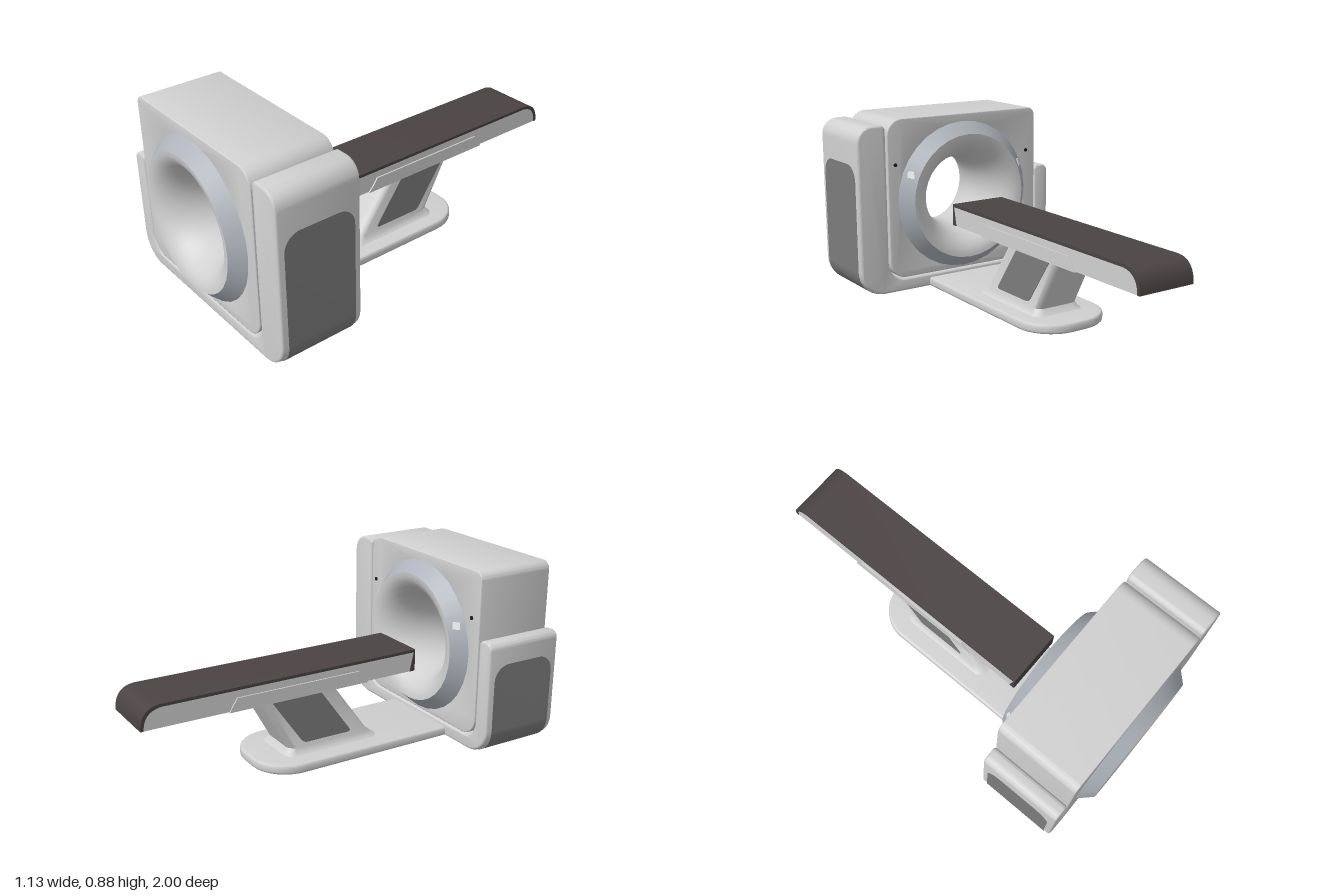
import * as THREE from 'three';
import { toCreasedNormals } from 'three/addons/utils/BufferGeometryUtils.js';

const mat = (name, color, side = THREE.FrontSide) => {
  const m = new THREE.MeshStandardMaterial({ color, side });
  m.name = name;
  return m;
};

// Polygon with a corner radius per point: [x, y, r]
function roundedShape(pts) {
  const s = new THREE.Shape();
  const n = pts.length;
  pts.forEach(([x, y, r], i) => {
    const p = new THREE.Vector2(x, y);
    const toward = (q) => new THREE.Vector2(q[0], q[1]).sub(p).setLength(r).add(p);
    const a = toward(pts[(i + n - 1) % n]);
    const b = toward(pts[(i + 1) % n]);
    if (i === 0) s.moveTo(a.x, a.y); else s.lineTo(a.x, a.y);
    if (r > 0) {
      const k = 0.5523;
      s.bezierCurveTo(a.x + (x - a.x) * k, a.y + (y - a.y) * k, b.x + (x - b.x) * k, b.y + (y - b.y) * k, b.x, b.y);
    }
  });
  s.closePath();
  return s;
}

// Extrusion from 0 to depth whose bevel stays inside the outline
function extrude(shape, depth, bevel = 0) {
  const g = new THREE.ExtrudeGeometry(shape, {
    depth: depth - 2 * bevel, curveSegments: 10, bevelEnabled: bevel > 0,
    bevelSize: bevel, bevelThickness: bevel, bevelOffset: -bevel, bevelSegments: 3,
  });
  g.translate(0, 0, bevel);
  return toCreasedNormals(g, 0.6);
}

// Side profile (z, y) extruded across x about a centre
const across = (shape, cx, width, bevel = 0) =>
  extrude(shape, width, bevel).rotateY(-Math.PI / 2).translate(cx + width / 2, 0, 0);

// Strip wrapped along an (x, y) path, with rounded ends
function wrapStrip(path, zc, half, r) {
  const pos = [], idx = [];
  const dist = [0];
  for (let i = 1; i < path.length; i++) dist.push(dist[i - 1] + path[i].distanceTo(path[i - 1]));
  const total = dist[dist.length - 1];
  path.forEach((p, i) => {
    const d = Math.min(dist[i], total - dist[i]);
    const w = d < r ? half - r + Math.sqrt(r * r - (r - d) ** 2) : half;
    pos.push(p.x, p.y, zc + w, p.x, p.y, zc - w);
    if (i) { const a = 2 * i - 2; idx.push(a, a + 1, a + 2, a + 1, a + 3, a + 2); }
  });
  const g = new THREE.BufferGeometry();
  g.setAttribute('position', new THREE.Float32BufferAttribute(pos, 3));
  g.setIndex(idx);
  g.computeVertexNormals();
  return g;
}

// Loft of rounded rectangles: sections [y, zFront, zBack, halfWidth, radius]
function loft(sections, cx) {
  const pos = [], idx = [], per = 24;
  sections.forEach(([y, zf, zb, hw, r]) => {
    for (let i = 0; i < per; i++) {
      const q = Math.floor(i / 6);
      const a = (q + (i % 6) / 5) * Math.PI / 2;
      const sx = q === 0 || q === 3 ? 1 : -1, sz = q < 2 ? 1 : -1;
      pos.push(cx + sx * (hw - r) + r * Math.cos(a), y, (zf + zb) / 2 + sz * ((zf - zb) / 2 - r) + r * Math.sin(a));
    }
  });
  for (let s = 0; s < sections.length - 1; s++) {
    for (let i = 0; i < per; i++) {
      const a = s * per + i, b = s * per + (i + 1) % per;
      idx.push(a, a + per, b, b, a + per, b + per);
    }
  }
  const g = new THREE.BufferGeometry();
  g.setAttribute('position', new THREE.Float32BufferAttribute(pos, 3));
  g.setIndex(idx);
  return toCreasedNormals(g, 0.7);
}

export function createModel() {
  const light = mat('lightGrey', 0xd0d0d0);
  const ringGrey = mat('blueGrey', 0xaeb3bb);
  const panel = mat('panelGrey', 0x7c7c7c, THREE.DoubleSide);
  const dark = mat('darkCushion', 0x4b4343);
  const black = mat('black', 0x1c1c1c);
  const white = mat('displayWhite', 0xe4e6e8);

  const model = new THREE.Group();
  model.name = 'scanner';
  const add = (name, geo, material) => {
    const m = new THREE.Mesh(geo, material);
    m.name = name;
    model.add(m);
    return m;
  };

  const cx = -0.03, cy = 0.463, zBack = 0.535, zFront = 0.94, zMid = 0.7375;

  // Square housing with a round opening
  const housing = roundedShape([[-0.475, 0.075, 0.09], [0.4, 0.075, 0.09], [0.4, 0.88, 0.08], [-0.475, 0.88, 0.04]]);
  housing.holes.push(new THREE.Path().absarc(cx, cy, 0.35, 0, Math.PI * 2, true));
  add('housing', extrude(housing, zFront - zBack, 0.004).translate(0, 0, zBack), light);

  // Cradle with a low and a tall arm
  const cradle = roundedShape([
    [-0.563, 0.005, 0.13], [0.56, 0.005, 0.13], [0.56, 0.855, 0.08], [0.408, 0.855, 0.025],
    [0.408, 0.068, 0.09], [-0.48, 0.068, 0.09], [-0.48, 0.565, 0.025], [-0.563, 0.565, 0.035],
  ]);
  add('cradle', extrude(cradle, zFront - zBack, 0.01).translate(0, 0, zBack), light);

  // Grey panel wrapped around the outside of the cradle
  const wrap = [];
  const V = (x, y) => wrap.push(new THREE.Vector2(x, y));
  const xl = -0.566, xr = 0.563, yb = 0.001, r = 0.13;
  for (let i = 0; i <= 8; i++) V(xl, 0.455 - 0.08 * (i / 8) ** 2);
  for (let i = 0; i <= 10; i++) { const a = Math.PI * (1 + i / 20); V(xl + r + r * Math.cos(a), yb + r + r * Math.sin(a)); }
  for (let i = 0; i <= 10; i++) { const a = Math.PI * (1.5 + i / 20); V(xr - r + r * Math.cos(a), yb + r + r * Math.sin(a)); }
  for (let i = 8; i >= 0; i--) V(xr, 0.665 - 0.08 * (i / 8) ** 2);
  add('wrapPanel', wrapStrip(wrap, zMid, 0.172, 0.08), panel);

  // Conical rings and the flared bore
  const lathe = (pts) => new THREE.LatheGeometry(pts.map(([a, b]) => new THREE.Vector2(a, b)), 32)
    .rotateX(Math.PI / 2).translate(cx, cy, 0);
  add('frontRing', lathe([[0.38, 0.938], [0.32, 1.0]]), ringGrey);
  add('backRing', lathe([[0.32, 0.47], [0.38, 0.537]]), ringGrey);
  const bore = [];
  for (let i = 0; i <= 24; i++) {
    const a = Math.PI * i / 24;
    bore.push([0.32 - 0.148 * Math.sin(a), 0.735 + 0.265 * Math.cos(a)]);
  }
  add('bore', lathe(bore), light);

  // Small rear fittings: sensor dots and ring displays
  for (const [side, x] of [[1, 0.36], [-1, -0.42]]) {
    add('sensorDot', new THREE.CylinderGeometry(0.009, 0.009, 0.008, 12).rotateX(Math.PI / 2)
      .translate(x, 0.655, zBack - 0.002), black);
    const d = add('ringDisplay', new THREE.BoxGeometry(0.035, 0.035, 0.006), white);
    const a = 0.41, rr = 0.349;
    const out = new THREE.Vector3(side * Math.cos(a), Math.sin(a), 0);
    d.position.set(cx + out.x * rr, cy + out.y * rr, 0.502);
    d.lookAt(d.position.clone().add(out.multiplyScalar(0.74)).add(new THREE.Vector3(0, 0, -0.67)));
  }

  // Floor plate
  const plate = roundedShape([[-0.26, -0.56, 0], [0.178, -0.56, 0], [0.178, 0.44, 0.18], [-0.26, 0.44, 0.18]]);
  add('floorPlate', extrude(plate, 0.046, 0.012).rotateX(-Math.PI / 2).translate(0, 0.004, 0), light);

  // Slanted pedestal with a flared foot and side inserts
  const px = -0.035, hw = 0.115;
  add('pedestal', loft([
    [0.045, 0.215, -0.31, 0.145, 0.05], [0.055, 0.19, -0.293, 0.13, 0.045], [0.08, 0.16, -0.278, hw, 0.04],
    [0.35, -0.035, -0.425, hw, 0.04],
  ], px), light);
  const insert = roundedShape([[0.055, 0.1, 0.02], [-0.205, 0.1, 0.02], [-0.375, 0.345, 0], [-0.12, 0.345, 0]]);
  for (const s of [-1, 1]) add('pedestalInsert', across(insert, px + s * hw, 0.006), panel);

  // Carriage under the table
  const carriage = new THREE.Shape([[0.13, 0.342], [0.1, 0.375], [0.08, 0.405], [-0.55, 0.405], [-0.57, 0.375], [-0.59, 0.342]]
    .map(([a, b]) => new THREE.Vector2(a, b)));
  add('carriage', across(carriage, cx, 0.3), light);

  // Table body and the dark top that turns down at both ends
  const body = new THREE.Shape();
  body.moveTo(0.372, 0.345);
  body.lineTo(0.393, 0.439);
  body.lineTo(-0.9, 0.439);
  body.quadraticCurveTo(-0.985, 0.43, -0.985, 0.345);
  body.closePath();
  add('tableBody', across(body, cx, 0.286), light);
  const top = new THREE.Shape();
  top.moveTo(0.4, 0.345);
  top.lineTo(0.4, 0.453);
  top.lineTo(-0.91, 0.453);
  top.quadraticCurveTo(-1, 0.445, -1, 0.345);
  top.lineTo(-0.985, 0.345);
  top.quadraticCurveTo(-0.985, 0.43, -0.9, 0.439);
  top.lineTo(0.393, 0.439);
  top.lineTo(0.372, 0.345);
  top.closePath();
  add('tableTop', across(top, cx, 0.29), dark);

  return model;
}
